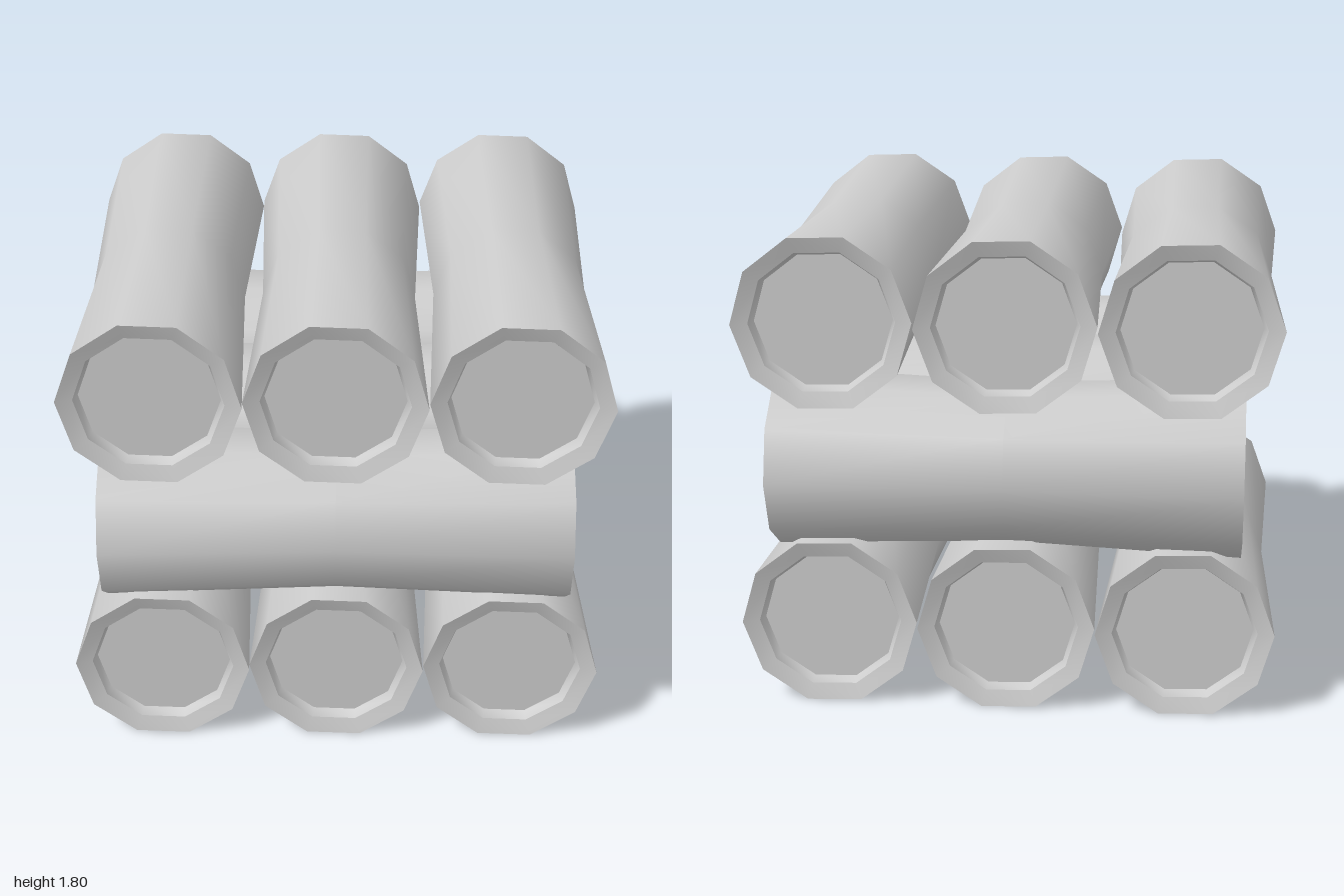
import * as THREE from 'three';
import { toCreasedNormals } from 'three/addons/utils/BufferGeometryUtils.js';

const HALF = 0.868;     // half the log length
const RADIUS = 0.333;   // radius at the ends
const WAIST = 0.298;    // radius at the middle
const SPACING = 0.667;  // distance between neighbours

// Ten-sided log lying along z: pinched waist, dished rims and recessed end caps
function logGeometry() {
  const half = [
    [0, HALF - 0.06],
    [0.256, HALF - 0.06],
    [0.271, HALF - 0.02],
    [RADIUS, HALF],
  ];
  const profile = [
    ...half.map(([r, y]) => new THREE.Vector2(r, -y)),
    new THREE.Vector2(WAIST, 0),
    ...half.reverse().map(([r, y]) => new THREE.Vector2(r, y)),
  ];
  const lathe = new THREE.LatheGeometry(profile, 10, THREE.MathUtils.degToRad(88));
  lathe.rotateX(Math.PI / 2);
  return toCreasedNormals(lathe, THREE.MathUtils.degToRad(45));
}

export function createModel() {
  const model = new THREE.Group();
  model.name = 'logStack';
  const geometry = logGeometry();
  const material = new THREE.MeshStandardMaterial({ color: 0xcccccc });

  // Three layers of three logs, the middle layer turned crosswise
  const layers = [
    { name: 'bottomLayer', y: 0.32, turn: 0 },
    { name: 'middleLayer', y: 0.915, turn: Math.PI / 2 },
    { name: 'topLayer', y: 1.48, turn: 0 },
  ];
  for (const { name, y, turn } of layers) {
    const layer = new THREE.Group();
    layer.name = name;
    layer.position.y = y;
    layer.rotation.y = turn;
    for (const i of [-1, 0, 1]) {
      const log = new THREE.Mesh(geometry, material);
      log.name = 'log';
      log.position.x = i * SPACING;
      layer.add(log);
    }
    model.add(layer);
  }
  return model;
}
